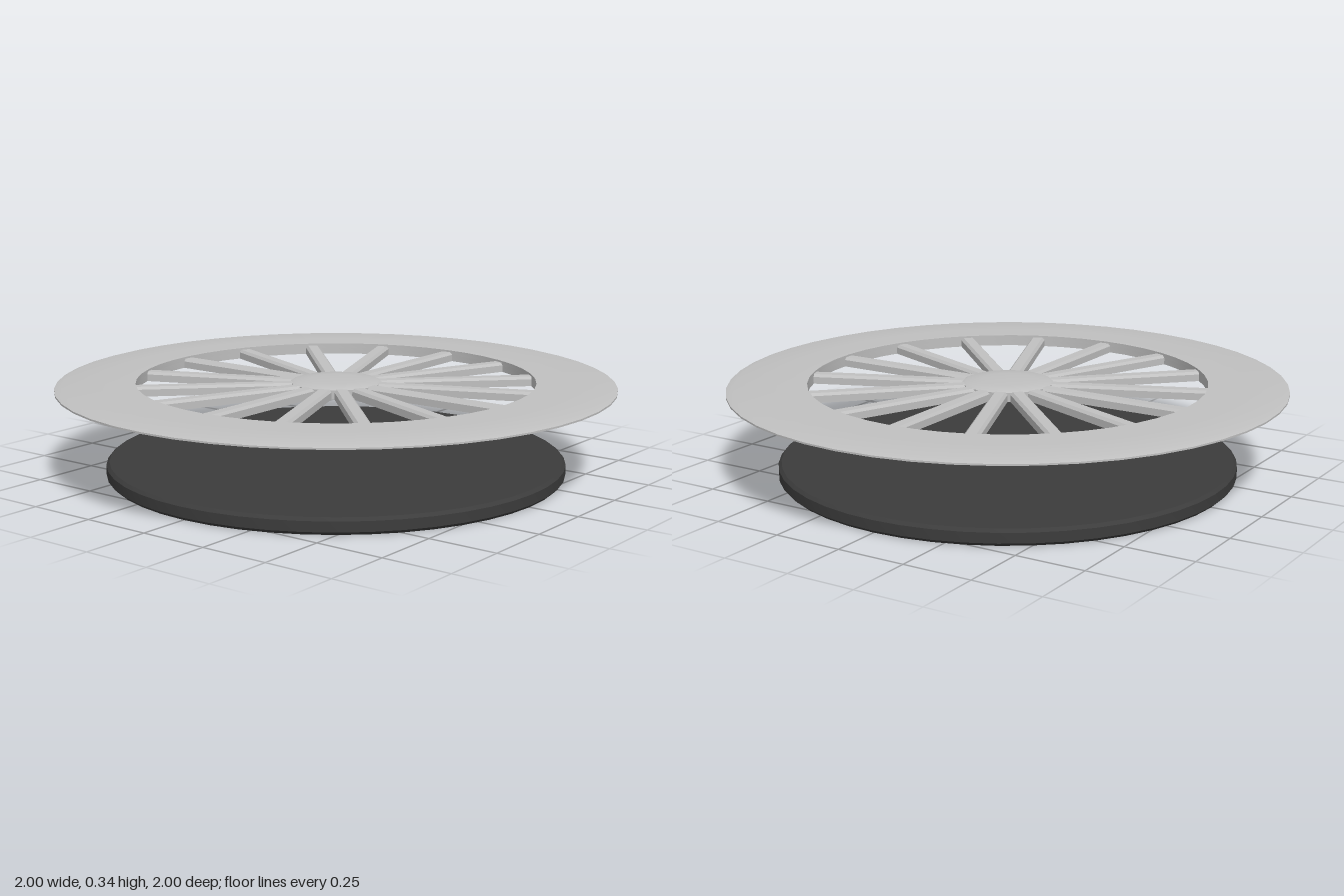
import * as THREE from 'three';
import { toCreasedNormals } from 'three/addons/utils/BufferGeometryUtils.js';

const SEGMENTS = 48;

// Revolve a list of [radius, y] points, keeping hard edges sharp
function revolve(name, points, material) {
  const profile = points.map(([r, y]) => new THREE.Vector2(r, y));
  const geometry = toCreasedNormals(new THREE.LatheGeometry(profile, SEGMENTS), 0.5);
  const mesh = new THREE.Mesh(geometry, material);
  mesh.name = name;
  return mesh;
}

// Closed ring with a rectangular section
function ring(name, inner, outer, bottom, top, material) {
  return revolve(name, [
    [inner, bottom], [outer, bottom], [outer, top], [inner, top], [inner, bottom],
  ], material);
}

export function createModel() {
  const silver = new THREE.MeshStandardMaterial({ color: 0xc0c0c0 });
  silver.name = 'silver';
  const charcoal = new THREE.MeshStandardMaterial({ color: 0x3c3c3c });
  charcoal.name = 'charcoal';

  const model = new THREE.Group();
  model.name = 'spokedWheel';

  // Solid backing disc with softened edges
  model.add(revolve('backingDisc', [
    [0, 0], [0.815, 0], [0.826, 0.011], [0.826, 0.047], [0.815, 0.058], [0, 0.058],
  ], charcoal));

  // Wide face plate, thin and bevelled at the outer edge
  model.add(revolve('facePlate', [
    [0.715, 0.32], [0.99, 0.32], [1, 0.322], [1, 0.328], [0.975, 0.335],
    [0.82, 0.338], [0.715, 0.338], [0.715, 0.32],
  ], silver));

  // Raised rings under the face plate
  model.add(ring('outerRing', 0.785, 0.826, 0.297, 0.325, silver));
  model.add(ring('innerRing', 0.715, 0.735, 0.297, 0.325, silver));

  // Radial spokes with chamfered top edges
  const section = new THREE.Shape([
    [-0.027, 0.297], [0.027, 0.297], [0.027, 0.322],
    [0.018, 0.331], [-0.018, 0.331], [-0.027, 0.322],
  ].map(([x, y]) => new THREE.Vector2(x, y)));
  const spokeGeometry = new THREE.ExtrudeGeometry(section, { depth: 0.65, bevelEnabled: false });
  spokeGeometry.translate(0, 0, 0.1);
  const spokes = new THREE.Group();
  spokes.name = 'spokes';
  for (let i = 0; i < 16; i++) {
    const spoke = new THREE.Mesh(spokeGeometry, silver);
    spoke.name = 'spoke';
    spoke.rotation.y = (i * Math.PI) / 8;
    spokes.add(spoke);
  }
  model.add(spokes);

  // Gently domed hub
  model.add(revolve('hub', [
    [0, 0.297], [0.163, 0.297], [0.163, 0.329], [0.15, 0.334], [0.09, 0.338], [0, 0.34],
  ], silver));

  return model;
}
